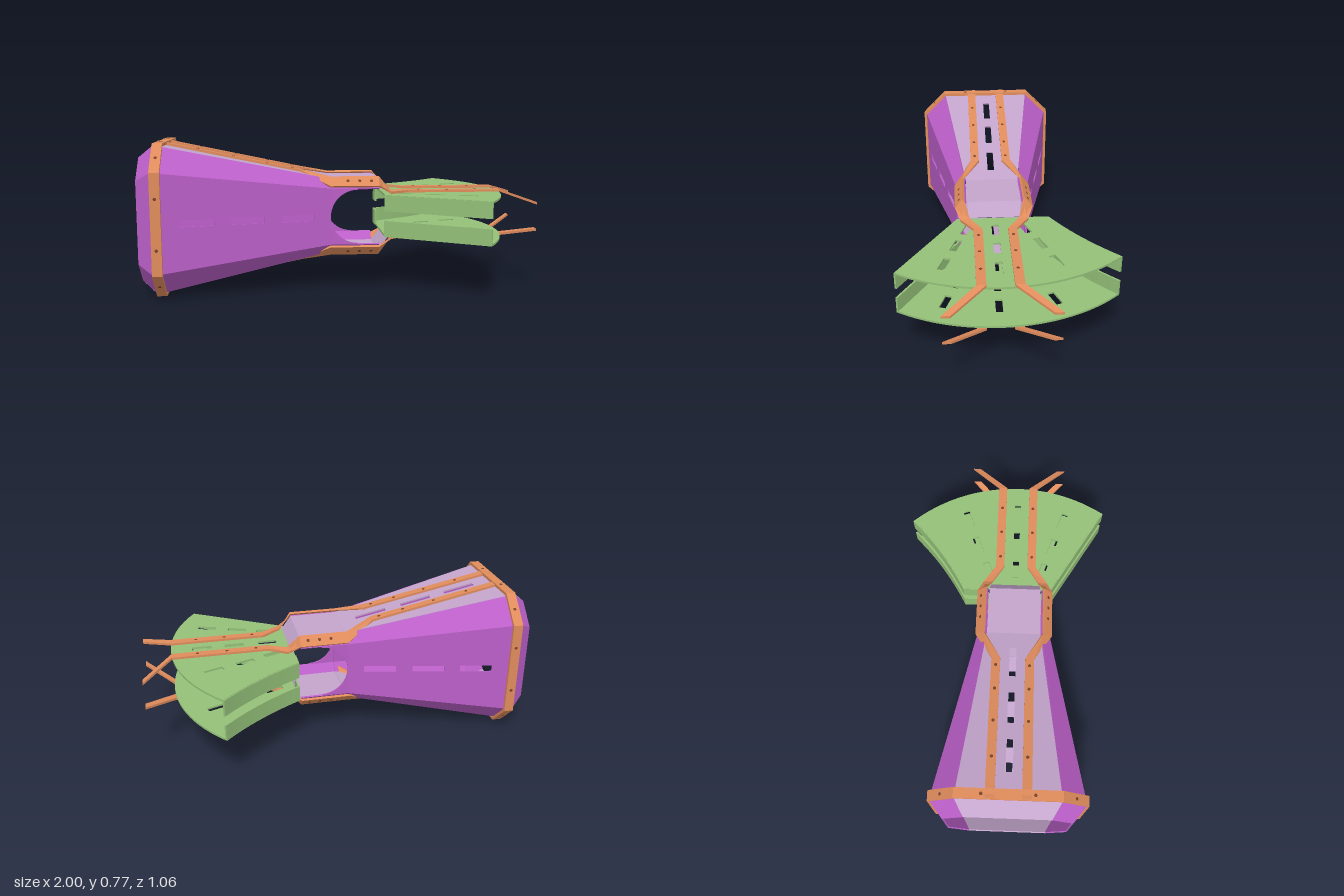
import * as THREE from 'three';

const material = (color) => new THREE.MeshStandardMaterial({ color, side: THREE.DoubleSide });

export function createModel() {
  const root = new THREE.Group();
  const purple = material(0xbb5fc8), lavender = material(0xc4a5cc);
  const orange = material(0xe08c5c), green = material(0x93c078), dark = material(0x7a4428);

  // everything is laid out around the duct axis (y = 0, z = 0 here)
  const body = new THREE.Group();
  body.name = 'body';
  body.position.set(0, 0.385, 0.05);
  root.add(body);

  const add = (parent, name, geometry, mat) => {
    const mesh = new THREE.Mesh(geometry, mat);
    mesh.name = name;
    parent.add(mesh);
    return mesh;
  };
  const polygon = (pts) => new THREE.Shape(pts.map(([x, y]) => new THREE.Vector2(x, y)));
  const slot = (x, y, length, width, angle = 0) => {
    const c = Math.cos(angle), s = Math.sin(angle);
    const pts = [[-1, -1], [-1, 1], [1, 1], [1, -1]].map(([i, j]) => {
      const u = i * length / 2, v = j * width / 2;
      return new THREE.Vector2(x + u * c - v * s, y + u * s + v * c);
    });
    return new THREE.Path(pts);
  };
  const sheet = (shape, depth) =>
    new THREE.ExtrudeGeometry(shape, { depth, bevelEnabled: false, curveSegments: 32 });

  // lays a sheet on the slope running from (x0, h0) to (x1, h1)
  const layOnSlope = (geometry, x0, h0, x1, h1, thickness) => {
    const u = new THREE.Vector3(x1 - x0, h1 - h0, 0).normalize();
    const n = new THREE.Vector3(-u.y, u.x, 0);
    const m = new THREE.Matrix4().makeBasis(u, new THREE.Vector3(0, 0, -1), n);
    m.setPosition(x0 + n.x * -thickness, h0 + n.y * -thickness, 0);
    return geometry.applyMatrix4(m);
  };

  // duct panels: stations are [x, distance from axis, half width]
  const flat = [[-1, 0.31, 0.205], [-0.92, 0.373, 0.25], [-0.05, 0.19, 0.145]];
  const chamfer = [[-1, 0.364, 0.074], [-0.92, 0.44, 0.087], [-0.05, 0.237, 0.032], [0.2, 0.237, 0.032]];
  const roof = [...flat.slice(0, 2), [-0.05, 0.19, 0.138], [0.2, 0.19, 0.135], [0.25, 0.125, 0.13]];
  const T = 0.008;
  for (let k = 0; k < 8; k++) {
    const isRoof = k % 4 === 0, isSide = k % 4 === 2;
    const stations = isRoof ? roof : isSide ? flat : chamfer;
    const panel = new THREE.Group();
    panel.name = isRoof ? 'ductRoofPanel' : isSide ? 'ductSidePanel' : 'ductCornerPanel';
    panel.rotation.x = k * Math.PI / 4;
    body.add(panel);
    const mat = isRoof ? lavender : purple;
    for (let i = 0; i + 1 < stations.length; i++) {
      const [x0, h0, w0] = stations[i], [x1, h1, w1] = stations[i + 1];
      const L = Math.hypot(x1 - x0, h1 - h0);
      const shape = polygon([[0, -w0], [L, -w1], [L, w1], [0, w0]]);
      if (i === 1 && (isRoof || isSide)) {
        for (const x of [-0.71, -0.465, -0.215])
          shape.holes.push(slot((x - x0) * L / (x1 - x0), 0, 0.168, 0.035));
      }
      add(panel, 'panelSheet', layOnSlope(sheet(shape, T), x0, h0, x1, h1, T), mat);
    }
    // throat cheek with round cut-out
    if (isSide) {
      const cheek = new THREE.Shape();
      cheek.moveTo(0.14, 0.145);
      cheek.lineTo(0, 0.145);
      cheek.lineTo(0, -0.145);
      cheek.lineTo(0.14, -0.145);
      cheek.absarc(0.14, 0, 0.138, -Math.PI / 2, Math.PI / 2, true);
      add(panel, 'throatCheek', layOnSlope(sheet(cheek, T), -0.05, 0.19, 0.1, 0.19, T), mat);
    }
  }

  // octagonal hoop around the wide mouth
  const octagon = (a, b) => [[a, b], [b, a], [-b, a], [-a, b], [-a, -b], [-b, -a], [b, -a], [a, -b]];
  const ring = polygon(octagon(0.382, 0.252));
  ring.holes.push(polygon(octagon(0.367, 0.246)));
  add(body, 'hoop', sheet(ring, 0.05).rotateY(Math.PI / 2).translate(-0.925, 0, 0), orange);
  const rivet = () => new THREE.CylinderGeometry(0.008, 0.008, 0.002, 12);
  for (let k = 0; k < 8; k++) {
    for (const z of k % 2 ? [0] : [-0.125, 0.125]) {
      const geometry = rivet().translate(-0.9, k % 2 ? 0.449 : 0.383, z).rotateX(k * Math.PI / 4);
      add(body, 'hoopRivet', geometry, dark);
    }
  }

  // bent straps: stations are [x, inner h, inner z, outer h, outer z]
  const strapStations = [
    [-0.92, 0.374, 0.063, 0.374, 0.108], [-0.2, 0.224, 0.063, 0.224, 0.108],
    [-0.05, 0.196, 0.148, 0.15, 0.19], [0.2, 0.196, 0.148, 0.15, 0.19],
    [0.265, 0.118, 0.122, 0.112, 0.17], [0.36, 0.111, 0.063, 0.111, 0.108],
    [0.85, 0.111, 0.063, 0.111, 0.108], [1, 0.062, 0.222, 0.062, 0.262],
  ];
  const strapGeometry = () => {
    const t = 0.012, pos = [];
    const rings = strapStations.map(([x, hi, zi, ho, zo]) => {
      const d = Math.hypot(ho - hi, zo - zi), ny = (zo - zi) / d * t, nz = (hi - ho) / d * t;
      return [[x, hi, zi], [x, ho, zo], [x, ho + ny, zo + nz], [x, hi + ny, zi + nz]];
    });
    const quad = (a, b, c, d) => pos.push(...a, ...b, ...c, ...a, ...c, ...d);
    for (let i = 0; i + 1 < rings.length; i++)
      for (let j = 0; j < 4; j++) {
        const k = (j + 1) % 4;
        quad(rings[i][j], rings[i + 1][j], rings[i + 1][k], rings[i][k]);
      }
    quad(...rings[0]);
    quad(...rings[rings.length - 1].slice().reverse());
    const g = new THREE.BufferGeometry();
    g.setAttribute('position', new THREE.Float32BufferAttribute(pos, 3));
    g.computeVertexNormals();
    return g;
  };
  for (const sy of [1, -1]) for (const sz of [1, -1]) {
    const strap = new THREE.Group();
    strap.name = 'strap';
    strap.scale.set(1, sy, sz);
    body.add(strap);
    add(strap, 'strapBand', strapGeometry(), orange);
    for (const x of [-0.72, -0.54, -0.37, -0.24]) {
      const h = 0.374 - (x + 0.92) * 0.15 / 0.72 + 0.012;
      add(strap, 'strapRivet', rivet().rotateZ(-0.205).translate(x, h, 0.085), dark);
    }
    for (const x of [0.04, 0.1, 0.16])
      add(strap, 'strapRivet', rivet().rotateX(0.83).translate(x, 0.182, 0.177), dark);
    for (const x of [0.42, 0.57, 0.72])
      add(strap, 'strapRivet', rivet().translate(x, 0.123, 0.085), dark);
  }

  // fan trays, one above and one below the axis
  const R = 0.853, a0 = -0.74, a1 = 0.585;
  const curve = new THREE.QuadraticBezierCurve(
    new THREE.Vector2(0.23, -0.275), new THREE.Vector2(0.46, -0.4),
    new THREE.Vector2(R * Math.cos(a0), R * Math.sin(a0)));
  const curvePts = curve.getPoints(12);
  const edgePts = [new THREE.Vector2(0.23, 0.185), new THREE.Vector2(R * Math.cos(a1), R * Math.sin(a1))];
  for (const sy of [1, -1]) {
    const tray = new THREE.Group();
    tray.name = sy > 0 ? 'upperFanTray' : 'lowerFanTray';
    tray.scale.y = sy;
    body.add(tray);
    const outline = new THREE.Shape(curvePts);
    outline.absarc(0, 0, R, a0, a1, false);
    outline.lineTo(edgePts[0].x, edgePts[0].y);
    for (const [x, z, angle] of [
      [0.35, 0, 0], [0.525, 0, 0], [0.695, 0, 0],
      [0.34, -0.145, -0.36], [0.49, -0.21, -0.36], [0.65, -0.268, -0.36],
      [0.34, 0.143, 0.33], [0.49, 0.195, 0.33], [0.65, 0.25, 0.33],
    ]) outline.holes.push(slot(x, z, 0.1, 0.034, angle));
    add(tray, 'trayPlate', sheet(outline, 0.01).rotateX(Math.PI / 2).translate(0, 0.11, 0), green);

    // flanges folded towards the axis
    const flange = (pts) => {
      for (let i = 0; i + 1 < pts.length; i++) {
        const p = pts[i], q = pts[i + 1];
        const wall = add(tray, 'trayFlange', new THREE.BoxGeometry(p.distanceTo(q) + 0.004, 0.083, 0.01), green);
        wall.position.set((p.x + q.x) / 2, 0.0665, (p.y + q.y) / 2);
        wall.rotation.y = -Math.atan2(q.y - p.y, q.x - p.x);
      }
    };
    flange([new THREE.Vector2(0.23, -0.19), ...curvePts]);
    flange(edgePts);
  }
  return root;
}
